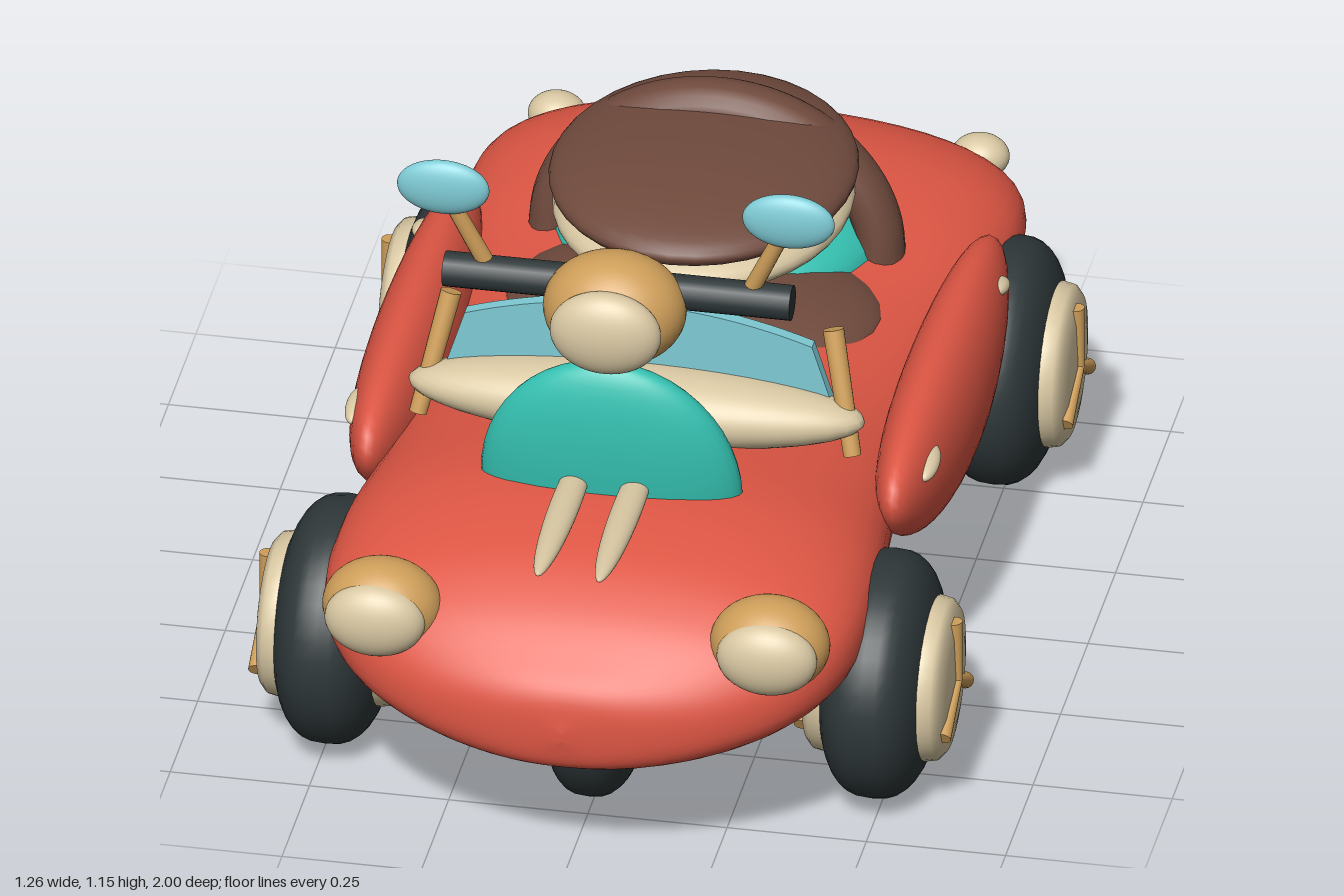
import * as THREE from 'three';

const mat = (name, color, opts = {}) => new THREE.MeshStandardMaterial({ name, color, ...opts });

export function createModel() {
  const red = mat('red paint', 0xde5644);
  const teal = mat('teal', 0x35c2b2);
  const brown = mat('brown leather', 0x704a3d);
  const cream = mat('cream', 0xd9c8a3);
  const wood = mat('honey wood', 0xcf9f5a);
  const black = mat('black rubber', 0x2e3739);
  const glass = mat('pale blue glass', 0x7fcbd5);

  const car = new THREE.Group();
  car.name = 'buggy';

  const add = (name, geometry, material, parent = car) => {
    const m = new THREE.Mesh(geometry, material);
    m.name = name;
    parent.add(m);
    return m;
  };
  // Ellipsoid; an optional rule moves its vertices
  const blob = (name, material, [x, y, z], [rx, ry, rz], bend) => {
    const g = new THREE.SphereGeometry(1, 36, 24).scale(rx, ry, rz);
    if (bend) {
      const p = g.attributes.position, v = new THREE.Vector3();
      for (let i = 0; i < p.count; i++) {
        bend(v.fromBufferAttribute(p, i));
        p.setXYZ(i, v.x, v.y, v.z);
      }
      g.computeVertexNormals();
    }
    const m = add(name, g, material);
    m.position.set(x, y, z);
    return m;
  };
  // Tapered rod between two points
  const rod = (name, material, from, to, r0, r1, parent = car) => {
    const a = new THREE.Vector3(...from), b = new THREE.Vector3(...to);
    const m = add(name, new THREE.CylinderGeometry(r1, r0, a.distanceTo(b), 16), material, parent);
    m.position.copy(a).add(b).multiplyScalar(0.5);
    m.quaternion.setFromUnitVectors(new THREE.Vector3(0, 1, 0), b.sub(a).normalize());
    return m;
  };
  const power = (v, e) => Math.sign(v) * Math.abs(v) ** e;

  // Body shell: superellipse sections [z, half width, bottom, top]
  const sections = [
    [1, 0, 0.29, 0.31], [0.985, 0.15, 0.235, 0.375], [0.94, 0.29, 0.215, 0.425],
    [0.86, 0.41, 0.21, 0.49], [0.74, 0.475, 0.21, 0.545], [0.55, 0.485, 0.21, 0.575],
    [0.3, 0.46, 0.22, 0.555], [0, 0.45, 0.22, 0.525], [-0.3, 0.46, 0.225, 0.53],
    [-0.55, 0.49, 0.225, 0.56], [-0.72, 0.495, 0.23, 0.56], [-0.85, 0.455, 0.235, 0.525],
    [-0.95, 0.34, 0.245, 0.46], [-0.99, 0.2, 0.28, 0.41], [-1, 0, 0.33, 0.36],
  ];
  const spline = (k) => new THREE.CatmullRomCurve3(
    sections.map((s) => new THREE.Vector3(s[0], s[1], s[k])), false, 'catmullrom');
  const low = spline(2), high = spline(3);
  const rings = 70, around = 48, pos = [], idx = [];
  for (let i = 0; i <= rings; i++) {
    const lo = low.getPoint(i / rings), hi = high.getPoint(i / rings);
    for (let j = 0; j < around; j++) {
      const a = (j / around) * Math.PI * 2, e = 2 / 2.3;
      pos.push(lo.y * power(Math.cos(a), e),
        (lo.z + hi.z) / 2 + ((hi.z - lo.z) / 2) * power(Math.sin(a), e),
        THREE.MathUtils.clamp(lo.x, -1, 1));
      if (i === rings) continue;
      const p = i * around + j, q = i * around + ((j + 1) % around);
      idx.push(p, p + around, q, q, p + around, q + around);
    }
  }
  const shell = new THREE.BufferGeometry();
  shell.setAttribute('position', new THREE.Float32BufferAttribute(pos, 3));
  shell.setIndex(idx);
  shell.computeVertexNormals();
  add('body', shell, red);
  blob('bellyPan', cream, [0, 0.24, 0.15], [0.24, 0.04, 0.38]);

  // Wheels: two pairs plus a centre wheel on each axle
  const tyreProfile = [];
  for (let i = 0; i <= 20; i++) {
    const a = -Math.PI / 2 + (i / 20) * Math.PI;
    tyreProfile.push(new THREE.Vector2(0.2225 * power(Math.cos(a), 0.77), 0.102 * power(Math.sin(a), 0.77)));
  }
  const tyreGeo = new THREE.LatheGeometry(tyreProfile, 40).rotateZ(-Math.PI / 2);
  const hubHalf = [[0.148, 0.09], [0.144, 0.11], [0.13, 0.122], [0.09, 0.129], [0, 0.132]];
  const hubPoints = [...hubHalf.map(([r, h]) => [r, -h]).reverse(), ...hubHalf]
    .map(([r, h]) => new THREE.Vector2(r, h));
  const hubGeo = new THREE.LatheGeometry(hubPoints, 36).rotateZ(-Math.PI / 2);
  const wheel = (name, x, z, width) => {
    const g = new THREE.Group();
    g.name = name;
    add('tyre', tyreGeo, black, g);
    add('hubcap', hubGeo, cream, g);
    for (const s of [1, -1]) for (let k = 0; k < 3; k++) {
      const a = (k / 3) * Math.PI * 2;
      rod('spoke', wood, [s * 0.132, 0, 0],
        [s * 0.126, 0.12 * Math.cos(a), 0.12 * Math.sin(a)], 0.009, 0.015, g);
    }
    g.position.set(x, 0.2235, z);
    g.scale.x = width;
    car.add(g);
  };
  for (const s of [1, -1]) {
    wheel('frontWheel', s * 0.49, 0.54, 1);
    wheel('rearWheel', s * 0.49, -0.57, 1);
  }
  wheel('frontCentreWheel', 0, 0.63, 0.88);
  wheel('rearCentreWheel', 0, -0.62, 0.88);

  // Mirrored details
  for (const s of [1, -1]) {
    blob('sidePod', red, [s * 0.472, 0.413, -0.08], [0.078, 0.145, 0.465],
      (v) => { v.y += 0.05 * (v.z / 0.465) ** 2; });
    blob('frontMarker', cream, [s * 0.513, 0.488, 0.25], [0.02, 0.016, 0.05]).rotation.x = 0.15;
    blob('rearMarker', cream, [s * 0.518, 0.492, -0.37], [0.018, 0.015, 0.035]).rotation.x = -0.2;
    blob('headlightHousing', wood, [s * 0.348, 0.45, 0.855], [0.107, 0.088, 0.085]);
    blob('headlightLens', cream, [s * 0.352, 0.448, 0.905], [0.09, 0.07, 0.047]);
    blob('tailLight', cream, [s * 0.38, 0.44, -0.895], [0.052, 0.04, 0.045]);
    blob('hoodSpike', cream, [s * 0.055, 0.585, 0.68], [0.027, 0.019, 0.25]);
    rod('mirrorStalk', wood, [s * 0.23, 0.92, 0.465], [s * 0.303, 1.08, 0.49], 0.016, 0.014);
    blob('mirror', glass, [s * 0.31, 1.1, 0.495], [0.083, 0.053, 0.024]);
    rod('windshieldPost', wood, [s * 0.39, 0.53, 0.32], [s * 0.343, 0.745, 0.255], 0.016, 0.019);
  }

  // Front fin, steering column, lamp and handlebar
  blob('frontFin', teal, [0, 0.55, 0.53], [0.235, 0.27, 0.075], (v) => { v.z += v.y * 0.15; });
  rod('steeringColumn', wood, [0, 0.53, 0.475], [0, 0.86, 0.49], 0.022, 0.052);
  blob('lampHousing', wood, [0, 0.895, 0.505], [0.128, 0.105, 0.102]);
  blob('lampLens', cream, [0, 0.892, 0.59], [0.1, 0.08, 0.046]);
  rod('handlebar', black, [-0.312, 0.919, 0.47], [0.312, 0.919, 0.47], 0.032, 0.032);

  // Dashboard and windshield
  blob('dashboard', cream, [0, 0.59, 0.305], [0.41, 0.07, 0.095]);
  const pane = new THREE.Shape();
  pane.moveTo(-0.355, 0.59);
  pane.lineTo(0.355, 0.59);
  pane.lineTo(0.312, 0.725);
  pane.quadraticCurveTo(0, 0.83, -0.312, 0.725);
  pane.closePath();
  add('windshield', new THREE.ExtrudeGeometry(pane, { depth: 0.024, bevelEnabled: false, curveSegments: 24 }), glass)
    .position.z = 0.268;

  // Seat, rear dome and back hoop
  blob('seatWell', brown, [0, 0.472, -0.22], [0.34, 0.085, 0.26]);
  blob('rearDome', teal, [0, 0.5, -0.48], [0.3, 0.12, 0.31]);
  blob('seatBase', cream, [0, 0.655, -0.305], [0.265, 0.07, 0.322]);
  blob('seatCushion', brown, [0, 0.712, -0.305], [0.272, 0.064, 0.326]);
  const arc = [];
  for (let i = 0; i <= 16; i++) {
    const a = (i / 16) * Math.PI;
    arc.push(new THREE.Vector3(0.295 * Math.cos(a), 0.265 * Math.sin(a), -0.015 * Math.sin(a)));
  }
  const hoop = new THREE.TubeGeometry(new THREE.CatmullRomCurve3(arc), 48, 0.043, 16, false).scale(1, 1, 1.25);
  add('backHoop', hoop, brown).position.set(0, 0.5, -0.425);

  return car;
}
